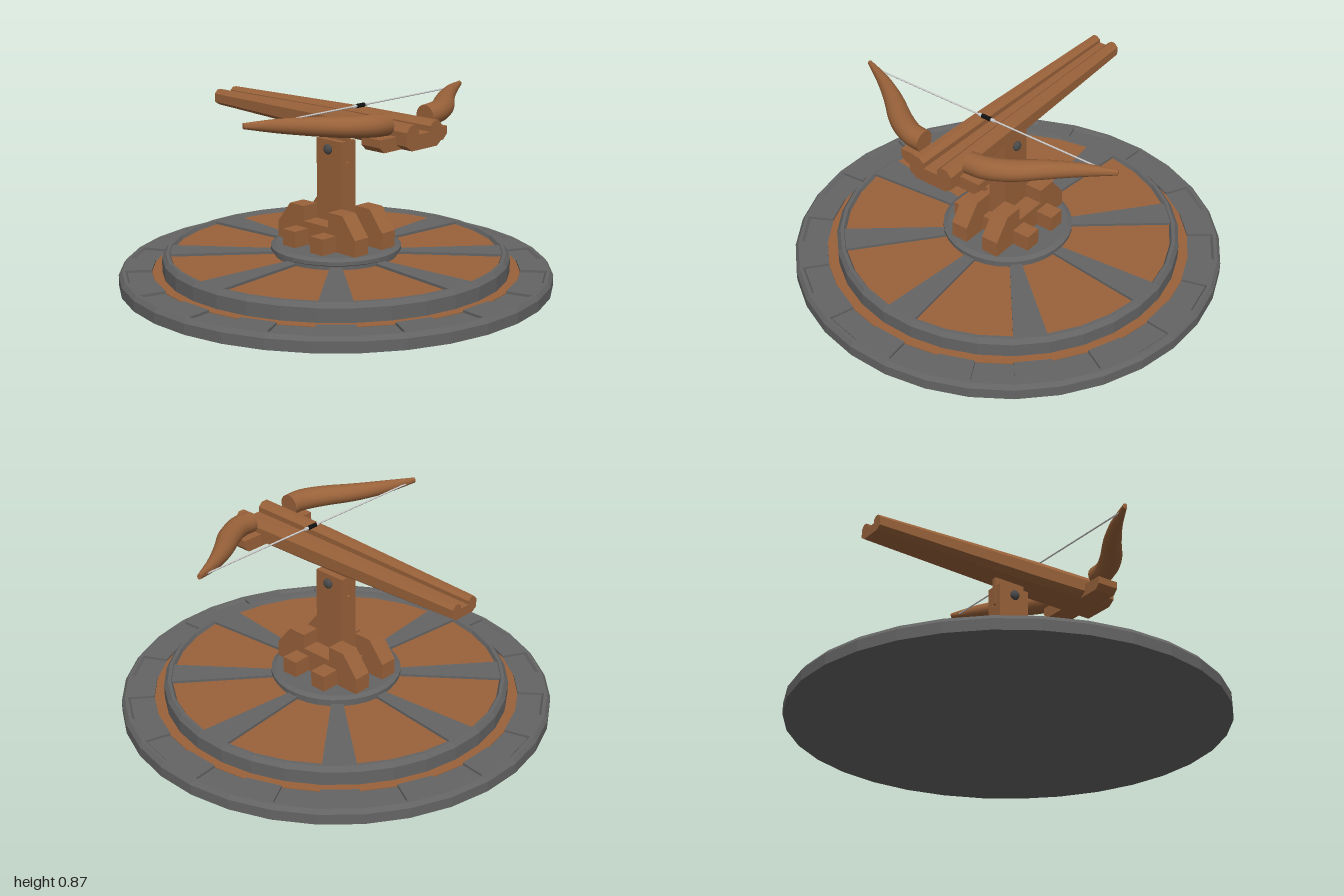
import * as THREE from 'three';
import { toCreasedNormals } from 'three/addons/utils/BufferGeometryUtils.js';

const SIDES = 32;
const STEP = (Math.PI * 2) / SIDES;
const material = (color, flatShading = true) => {
  const m = new THREE.MeshStandardMaterial({ color });
  m.flatShading = flatShading;
  return m;
};
const wood = material(0x99623a);
const smoothWood = material(0x99623a, false);
const stone = material(0x646464);
const iron = material(0x4a4a4a);
const cord = material(0xcccccc);
const black = material(0x111111);

export function createModel() {
  const model = new THREE.Group();

  const add = (name, geometry, mat, x = 0, y = 0, z = 0) => {
    const mesh = new THREE.Mesh(geometry, mat);
    mesh.name = name;
    mesh.position.set(x, y, z);
    model.add(mesh);
    return mesh;
  };
  // Box given by its lower and upper corners
  const box = (name, mat, [x0, y0, z0], [x1, y1, z1]) =>
    add(name, new THREE.BoxGeometry(x1 - x0, y1 - y0, z1 - z0), mat,
      (x0 + x1) / 2, (y0 + y1) / 2, (z0 + z1) / 2);
  // Turned part whose flats face the main axes
  const turned = (name, mat, profile) =>
    add(name, new THREE.LatheGeometry(profile.map(p => new THREE.Vector2(...p)), SIDES, STEP / 2), mat);
  const extrude = (points, depth, steps = 1) =>
    new THREE.ExtrudeGeometry(new THREE.Shape(points.map(p => new THREE.Vector2(...p))),
      { depth, steps, bevelEnabled: false });
  // Block covering one side of the wheel between two radii
  const wedge = (name, mat, r0, r1, angle, y0, y1) => {
    const at = (r, a) => [r * Math.cos(a), r * Math.sin(a)];
    const a0 = angle - STEP / 2, a1 = angle + STEP / 2;
    const g = extrude([at(r0, a0), at(r1, a0), at(r1, a1), at(r0, a1)], y1 - y0);
    g.rotateX(-Math.PI / 2);
    return add(name, g, mat, 0, y0, 0);
  };
  // Rod along x
  const rod = (name, mat, radius, x0, x1, y, z, sides = 8) => {
    const g = new THREE.CylinderGeometry(radius, radius, x1 - x0, sides);
    g.rotateZ(Math.PI / 2);
    return add(name, g, mat, (x0 + x1) / 2, y, z);
  };

  // Lower platform with a paved rim
  turned('lowerPlatform', stone, [[0, 0], [1.003, 0], [1.003, 0.05], [0.988, 0.07],
    [0.972, 0.07], [0.962, 0.058], [0, 0.058]]);
  turned('lowerWoodRing', wood, [[0.78, 0.061], [0.85, 0.061], [0.85, 0.05]].reverse());
  for (let i = 0; i < 16; i++) {
    wedge('paver', stone, 0.85, 0.972, i * STEP * 2, 0.05, 0.07);
  }

  // Upper wheel: wooden floor, stone rim and eight spokes
  turned('wheelFloor', wood, [[0.77, 0.06], [0.77, 0.13], [0, 0.13]]);
  turned('wheelRim', stone, [[0.77, 0.058], [0.803, 0.058], [0.803, 0.125], [0.786, 0.147],
    [0.77, 0.147], [0.76, 0.128]]);
  for (let i = 0; i < 8; i++) {
    wedge('spoke', stone, 0.25, 0.77, i * STEP * 4, 0.12, 0.142);
  }
  turned('hub', stone, [[0.285, 0.13], [0.285, 0.147], [0.302, 0.155], [0.302, 0.172],
    [0.28, 0.183], [0, 0.183]]);

  // Post with a forked head
  box('post', wood, [-0.045, 0.18, -0.08], [0.045, 0.57, 0.08]);
  for (const s of [-1, 1]) {
    box('forkCheek', wood, [s * 0.029 - 0.016, 0.57, -0.08], [s * 0.029 + 0.016, 0.67, 0.08]);
  }
  box('pivotTongue', wood, [-0.012, 0.58, -0.08], [0.012, 0.73, 0.08]);
  rod('pivotPin', iron, 0.012, -0.06, 0.06, 0.628, 0);
  for (const s of [-1, 1]) {
    const head = add('pivotHead', new THREE.SphereGeometry(0.024, 12, 8), iron, s * 0.053, 0.628, 0);
    head.scale.x = 0.65;
  }

  // Notched side braces and the cross beams beneath them
  const half = [[0.25, 0.18], [0.25, 0.26], [0.17, 0.36], [0.08, 0.36], [0.08, 0.29]];
  const brace = [...half, ...half.map(([z, y]) => [-z, y]).reverse()];
  for (const s of [-1, 1]) {
    const g = extrude(brace, 0.085);
    g.rotateY(-Math.PI / 2);
    add('sideBrace', g, wood, s * 0.0875 + 0.0425, 0, 0);
    box('crossBeam', wood, [-0.215, 0.18, s * 0.09 - 0.04], [0.215, 0.26, s * 0.09 + 0.04]);
  }

  // Grooved stock, tapering to the back
  const side = [[0.08, 0.71], [0.115, 0.735], [0.115, 0.795], [0.09, 0.823],
    [0.06, 0.823], [0.037, 0.803], [0.037, 0.778]];
  const stock = extrude([...side, ...side.map(([x, y]) => [-x, y]).reverse()], 1.29, 3);
  stock.translate(0, 0, -0.75);
  const p = stock.attributes.position;
  for (let i = 0; i < p.count; i++) {
    const z = p.getZ(i);
    const t = THREE.MathUtils.clamp((0.11 - z) / 0.86, 0, 1);
    p.setX(i, p.getX(i) * (1 - 0.33 * (0.54 - z) / 1.29));
    p.setY(i, 0.77 + (p.getY(i) - 0.77) * (1 - 0.35 * t));
  }
  stock.computeVertexNormals();
  add('stock', stock, wood);

  // Crosspiece holding the bow arms
  add('bowHolder', extrude([[-0.19, 0.71], [0.19, 0.71], [0.215, 0.735], [0.215, 0.77],
    [-0.215, 0.77], [-0.215, 0.735]], 0.11), wood, 0, 0, 0.37);

  // Curved, tapering bow arms
  for (const s of [-1, 1]) {
    add(s > 0 ? 'leftBowArm' : 'rightBowArm', bowArm(s), smoothWood);
  }

  // Bowstring with its middle wrapping
  rod('bowstring', cord, 0.004, -0.68, 0.68, 0.845, 0.152, 6);
  rod('stringCollar', cord, 0.008, -0.042, 0.042, 0.845, 0.152);
  rod('stringWrapping', black, 0.01, -0.025, 0.025, 0.845, 0.152);

  return model;
}

// Loft of oval sections along the arm's curve
function bowArm(s) {
  const stations = [ // x, y, z, half width, half height
    [0.125, 0.819, 0.428, 0.05, 0.05], [0.2, 0.822, 0.422, 0.052, 0.05],
    [0.3, 0.825, 0.375, 0.053, 0.047], [0.42, 0.832, 0.287, 0.044, 0.042],
    [0.55, 0.842, 0.207, 0.029, 0.032], [0.69, 0.853, 0.142, 0.01, 0.013],
  ];
  const path = new THREE.CatmullRomCurve3(stations.map(([x, y, z]) => new THREE.Vector3(s * x, y, z)));
  const sizes = new THREE.CatmullRomCurve3(stations.map(q => new THREE.Vector3(q[3], q[4], 0)));
  const around = 16, along = 20, vertices = [], index = [];
  for (let j = -1; j <= along + 1; j++) {
    const u = THREE.MathUtils.clamp(j / along, 0, 1);
    const c = path.getPoint(u), size = sizes.getPoint(u);
    const t = path.getTangent(u).setY(0).normalize();
    if (j === 0 || j === -1) t.set(s, 0, 0);
    const k = j < 0 || j > along ? 0 : 1; // closed ends
    for (let i = 0; i < around; i++) {
      const a = (i / around) * Math.PI * 2;
      const w = k * size.x * Math.cos(a), h = k * size.y * Math.sin(a);
      vertices.push(c.x + t.z * w, c.y + h, c.z - t.x * w);
    }
  }
  for (let j = 0; j < along + 2; j++) {
    for (let i = 0; i < around; i++) {
      const a = j * around + i, b = j * around + (i + 1) % around;
      if (j > 0) index.push(a, b, a + around);
      if (j < along + 1) index.push(b, b + around, a + around);
    }
  }
  const g = new THREE.BufferGeometry();
  g.setAttribute('position', new THREE.Float32BufferAttribute(vertices, 3));
  g.setIndex(index);
  return toCreasedNormals(g, 0.8);
}
